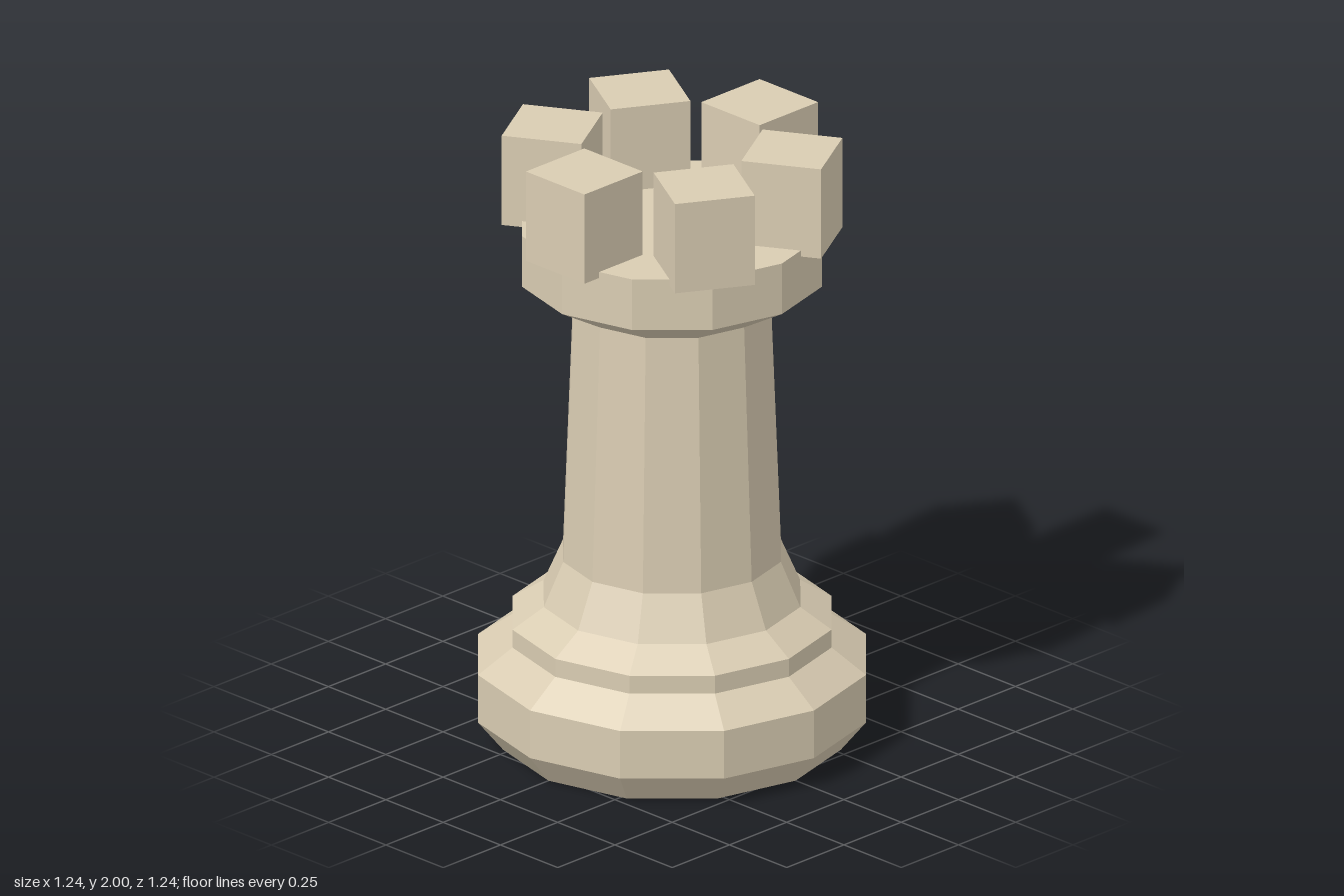
import * as THREE from 'three';

const SIDES = 12;
const BLOCKS = 6;

export function createModel() {
  const model = new THREE.Group();
  model.name = 'rook';
  const material = new THREE.MeshStandardMaterial({ color: 0xd9ccb2, flatShading: true });

  const add = (name, geometry) => {
    const mesh = new THREE.Mesh(geometry, material);
    mesh.name = name;
    model.add(mesh);
    return mesh;
  };
  // Faceted turned part from [radius, height] pairs, bottom to top
  const turned = (name, profile) =>
    add(name, new THREE.LatheGeometry(profile.map(([r, y]) => new THREE.Vector2(r, y)), SIDES));

  // Stepped foot with a closed underside
  turned('base', [[0, 0], [0.54, 0], [0.62, 0.1], [0.62, 0.26], [0.51, 0.34], [0.51, 0.4], [0.41, 0.465]]);

  // Flared root and tapering tower
  turned('shaft', [[0.41, 0.465], [0.348, 0.61], [0.315, 1.455]]);

  // Overhanging collar with a flat floor
  turned('collar', [[0.315, 1.455], [0.48, 1.55], [0.48, 1.72], [0, 1.72]]);

  // Ring of battlements, sunk slightly into the collar
  const blockGeometry = new THREE.BoxGeometry(0.255, 0.3, 0.255);
  for (let i = 0; i < BLOCKS; i++) {
    const angle = (i / BLOCKS) * Math.PI * 2;
    const block = add(`battlement${i + 1}`, blockGeometry);
    block.position.set(0.383 * Math.cos(angle), 1.85, 0.383 * Math.sin(angle));
    block.rotation.y = -angle;
  }

  return model;
}
